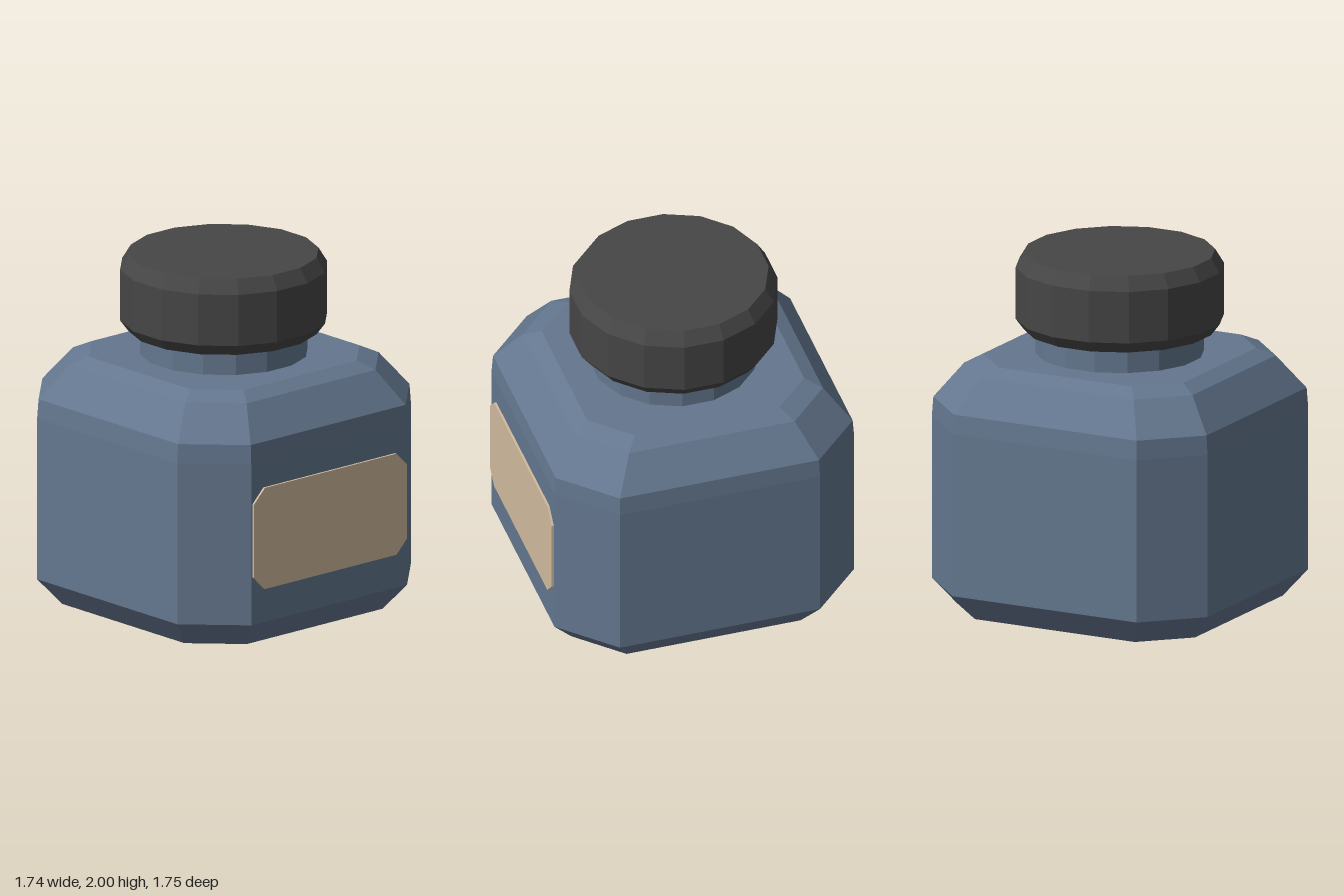
import * as THREE from 'three';

const glass = new THREE.MeshStandardMaterial({ name: 'blueGlass', color: 0x64778f });
const plastic = new THREE.MeshStandardMaterial({ name: 'darkCap', color: 0x464646 });
const paper = new THREE.MeshStandardMaterial({ name: 'paperLabel', color: 0xd0ba9e });

// Square with cut corners: h = half width, c = half length of each straight side
const octagon = (h, c) => [[c, h], [h, c], [h, -c], [c, -h], [-c, -h], [-h, -c], [-h, c], [-c, h]];

// Regular 16-sided ring with a flat facing the front, a = distance to the flats
const SIDES = 16;
const round = (a) => Array.from({ length: SIDES }, (_, i) => {
  const t = ((i + 0.5) / SIDES) * Math.PI * 2;
  const r = a / Math.cos(Math.PI / SIDES);
  return [Math.sin(t) * r, Math.cos(t) * r];
});

// Closed faceted solid through a stack of [y, ring] sections
function loft(sections) {
  const pos = [];
  const tri = (...pts) => pts.forEach((p) => pos.push(...p));
  const rings = sections.map(([y, ring]) => ring.map(([x, z]) => [x, y, z]));
  const n = rings[0].length;
  const bottom = [0, sections[0][0], 0];
  const top = [0, sections[sections.length - 1][0], 0];
  for (let i = 0; i < n; i++) {
    const j = (i + 1) % n;
    for (let k = 0; k < rings.length - 1; k++) {
      const lo = rings[k], hi = rings[k + 1];
      tri(lo[i], lo[j], hi[j]);
      tri(lo[i], hi[j], hi[i]);
    }
    tri(bottom, rings[0][j], rings[0][i]);
    tri(top, rings[rings.length - 1][i], rings[rings.length - 1][j]);
  }
  const g = new THREE.BufferGeometry();
  g.setAttribute('position', new THREE.Float32BufferAttribute(pos, 3));
  g.computeVertexNormals();
  return g;
}

export function createModel() {
  const model = new THREE.Group();
  model.name = 'inkBottle';
  const add = (name, geometry, material, z) => {
    const mesh = new THREE.Mesh(geometry, material);
    mesh.name = name;
    mesh.position.z = z;
    model.add(mesh);
  };

  // Bottle body with bevelled foot and sloped shoulders
  add('body', loft([
    [0, octagon(0.75, 0.505)],
    [0.15, octagon(0.87, 0.58)],
    [1.08, octagon(0.87, 0.58)],
    [1.19, octagon(0.862, 0.577)],
    [1.38, octagon(0.72, 0.48)],
    [1.425, octagon(0.63, 0.42)],
  ]), glass, -0.007);

  // Neck
  add('neck', loft([[1.4, round(0.46)], [1.6, round(0.46)]]), glass, -0.009);

  // Cap with bevelled rims
  add('cap', loft([
    [1.56, round(0.52)],
    [1.625, round(0.568)],
    [1.92, round(0.568)],
    [2, round(0.52)],
  ]), plastic, -0.01);

  // Front label with clipped corners
  const w = 0.57, b = 0.345, t = 0.93, c = 0.08;
  const shape = new THREE.Shape([
    [-w + c, b], [w - c, b], [w, b + c], [w, t - c],
    [w - c, t], [-w + c, t], [-w, t - c], [-w, b + c],
  ].map(([x, y]) => new THREE.Vector2(x, y)));
  add('label', new THREE.ExtrudeGeometry(shape, { depth: 0.018, bevelEnabled: false }), paper, 0.858);

  return model;
}
